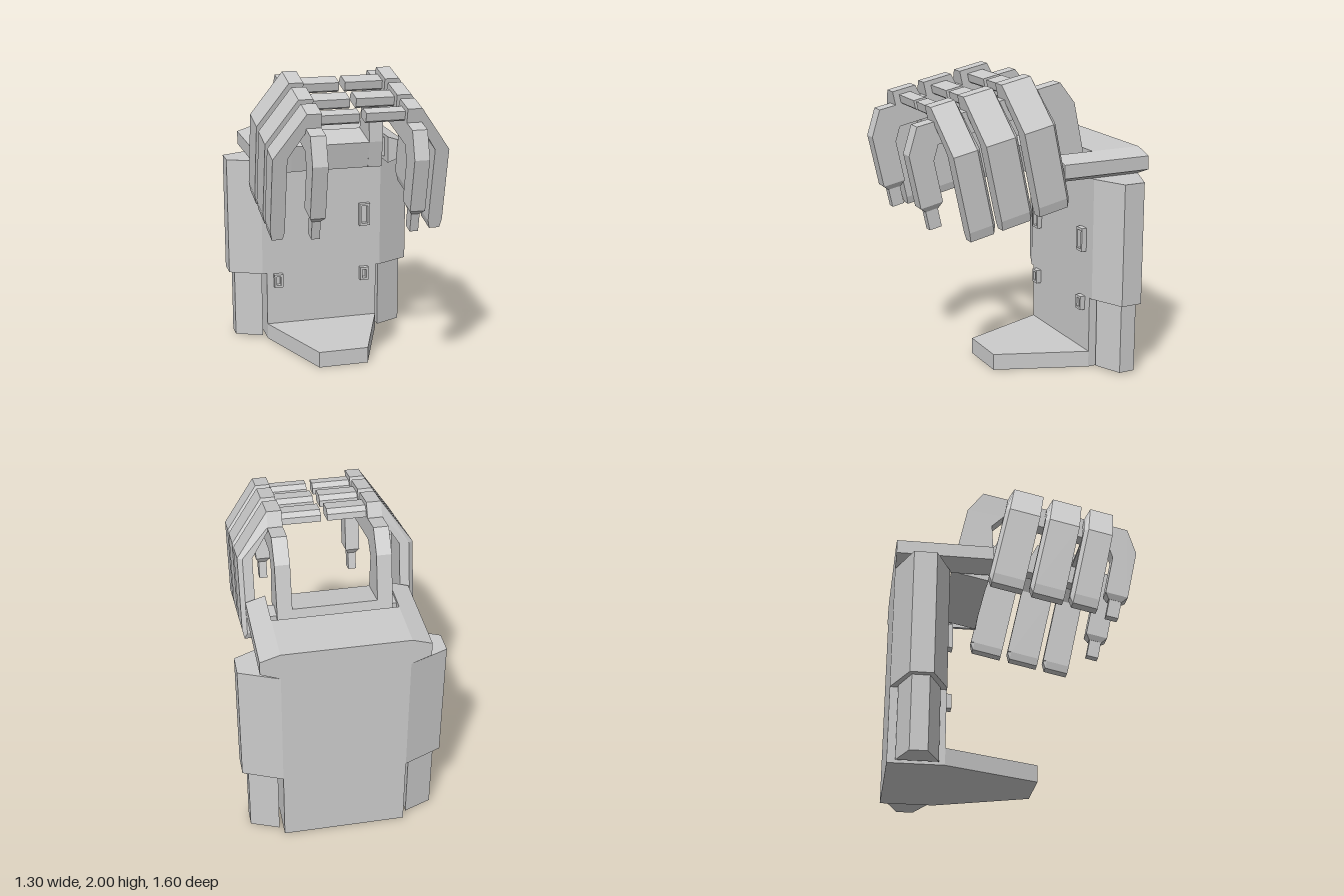
import * as THREE from 'three';

const material = new THREE.MeshStandardMaterial({ color: 0xcccccc, flatShading: true });

function add(parent, name, geometry) {
  const mesh = new THREE.Mesh(geometry, material);
  mesh.name = name;
  parent.add(mesh);
  return mesh;
}

const toShape = (pts) => new THREE.Shape(pts.map(([a, b]) => new THREE.Vector2(a, b)));
const extrude = (shape, depth, steps = 1) =>
  new THREE.ExtrudeGeometry(shape, { depth, steps, bevelEnabled: false });

// Plan outline (x, z) raised from y0 to y1
function planPrism(pts, y0, y1) {
  const g = extrude(toShape(pts.map(([x, z]) => [x, -z])), y1 - y0);
  return g.rotateX(-Math.PI / 2).translate(0, y0, 0);
}

// Side outline (z, y) spanning x0 to x1
function sidePrism(pts, x0, x1) {
  return extrude(toShape(pts), x1 - x0).rotateY(-Math.PI / 2).translate(x1, 0, 0);
}

// Front outline (x, y) spanning z0 to z1
const frontPrism = (pts, z0, z1) => extrude(toShape(pts), z1 - z0).translate(0, 0, z0);

function box(x0, x1, y0, y1, z0, z1) {
  return new THREE.BoxGeometry(x1 - x0, y1 - y0, z1 - z0)
    .translate((x0 + x1) / 2, (y0 + y1) / 2, (z0 + z1) / 2);
}

// Box whose x range is mirrored when s = -1
const sideBox = (s, x0, x1, ...rest) =>
  s > 0 ? box(x0, x1, ...rest) : box(-x1, -x0, ...rest);

// Bent finger plate with a sloping rear edge
const ribOutline = [
  [0.267, 0.485], [0.36, 0.485], [0.56, 0.2], [0.56, -0.29], [0.548, -0.352],
  [0.48, -0.352], [0.468, -0.3], [0.468, 0.2], [0.36, 0.37], [0.267, 0.37],
];
function ribGeometry(s, rear, front) {
  const g = extrude(toShape(ribOutline.map(([x, y]) => [x * s, y])), 2, 2);
  const p = g.attributes.position;
  const layers = [rear - 0.026, rear, front];
  for (let i = 0; i < p.count; i++) {
    const layer = Math.round(p.getZ(i));
    p.setZ(i, layers[layer]);
    if (layer === 0) {
      p.setX(i, s * Math.min(Math.abs(p.getX(i)), 0.53));
      p.setY(i, THREE.MathUtils.clamp(p.getY(i), -0.305, 0.395));
    }
  }
  g.computeVertexNormals();
  return g;
}

function createHand() {
  const hand = new THREE.Group();
  hand.name = 'hand';

  // Arched side frame: rear leg, top beam and front leg
  const arch = [
    [-0.393, -0.25], [-0.393, 0.232], [-0.318, 0.387], [0.68, 0.395], [0.77, 0.235],
    [0.77, -0.11], [0.62, -0.11], [0.62, 0.16], [0.57, 0.25], [-0.15, 0.25],
    [-0.21, 0.16], [-0.15, -0.065], [-0.145, -0.25],
  ];
  const ribs = [[-0.124, 0.08], [0.145, 0.345], [0.406, 0.567]];

  for (const s of [1, -1]) {
    const side = s > 0 ? 'left' : 'right';
    const [a, b] = s > 0 ? [0.267, 0.363] : [-0.363, -0.267];
    add(hand, side + 'Arch', sidePrism(arch, a, b));

    // Tapered neck and claw under the front leg
    const neck = new THREE.CylinderGeometry(Math.SQRT1_2, 0.42, 0.035, 4).rotateY(Math.PI / 4);
    neck.scale(0.096, 1, 0.15).translate(s * 0.315, -0.1275, 0.695);
    add(hand, side + 'ClawNeck', neck);
    add(hand, side + 'Claw', sideBox(s, 0.288, 0.342, -0.268, -0.12, 0.655, 0.737));

    // Outer ribs with the short bars reaching to the middle
    ribs.forEach(([rear, front], i) => {
      add(hand, side + 'Rib' + (i + 1), ribGeometry(s, rear, front));
      const r = rear + 0.012;
      const f = Math.min(front - 0.04, r + 0.142);
      const bar = [
        [r, 0.385], [r, 0.425], [r + 0.03, 0.454], [f, 0.454], [f, 0.4], [f - 0.015, 0.385],
      ];
      add(hand, side + 'TopBar' + (i + 1),
        sidePrism(bar, s > 0 ? 0.02 : -0.27, s > 0 ? 0.27 : -0.02));
    });
  }

  add(hand, 'palmBar', box(-0.27, 0.27, -0.25, -0.065, -0.39, -0.148));

  hand.position.set(-0.006, 1.5, 0);
  hand.rotation.x = THREE.MathUtils.degToRad(12);
  return hand;
}

export function createModel() {
  const model = new THREE.Group();
  model.name = 'model';

  // Upper body with tapered sides
  add(model, 'body', planPrism([
    [-0.43, -0.45], [0.43, -0.45], [0.65, -0.55], [0.65, -0.695],
    [0.4, -0.8], [-0.4, -0.8], [-0.65, -0.695], [-0.65, -0.55],
  ], 0.49, 1.31));

  // Lower body and foot plate
  add(model, 'lowerBody', box(-0.4, 0.4, 0, 0.49, -0.8, -0.45));
  add(model, 'footPlate',
    planPrism([[-0.4, -0.45], [0.4, -0.45], [0.17, 0.15], [-0.17, 0.15]], 0, 0.11));

  // Top bracket: bevelled plate with two forward arms
  add(model, 'topPlate', frontPrism([
    [0.4, 1.49], [0.525, 1.45], [0.525, 1.36], [0.4, 1.31],
    [-0.4, 1.31], [-0.525, 1.36], [-0.525, 1.45], [-0.4, 1.49],
  ], -0.8, -0.45));

  for (const s of [1, -1]) {
    const side = s > 0 ? 'left' : 'right';
    add(model, side + 'BracketArm', frontPrism(
      [[0.4, 1.49], [0.525, 1.45], [0.525, 1.36], [0.4, 1.31]].map(([x, y]) => [x * s, y]),
      -0.45, -0.18));
    add(model, side + 'HingePin', sideBox(s, 0.35, 0.41, 1.34, 1.47, -0.38, -0.26));

    // Side leg
    add(model, side + 'Leg', planPrism(
      [[0.428, -0.49], [0.61, -0.57], [0.61, -0.68], [0.428, -0.75]].map(([x, z]) => [x * s, z]),
      0.01, 0.49));

    // Raised hollow sockets on the front
    for (const [name, w, y0, y1] of [['Upper', 0.075, 0.8, 0.96], ['Lower', 0.062, 0.39, 0.485]]) {
      const c = s * 0.314 - 0.006, h = w / 2, t = 0.016;
      const ring = toShape([[c - h, y0], [c + h, y0], [c + h, y1], [c - h, y1]]);
      ring.holes.push(toShape([
        [c - h + t, y0 + t], [c - h + t, y1 - t], [c + h - t, y1 - t], [c + h - t, y0 + t],
      ]));
      add(model, side + name + 'Socket', extrude(ring, 0.035).translate(0, 0, -0.45));
    }
  }

  model.add(createHand());
  return model;
}
